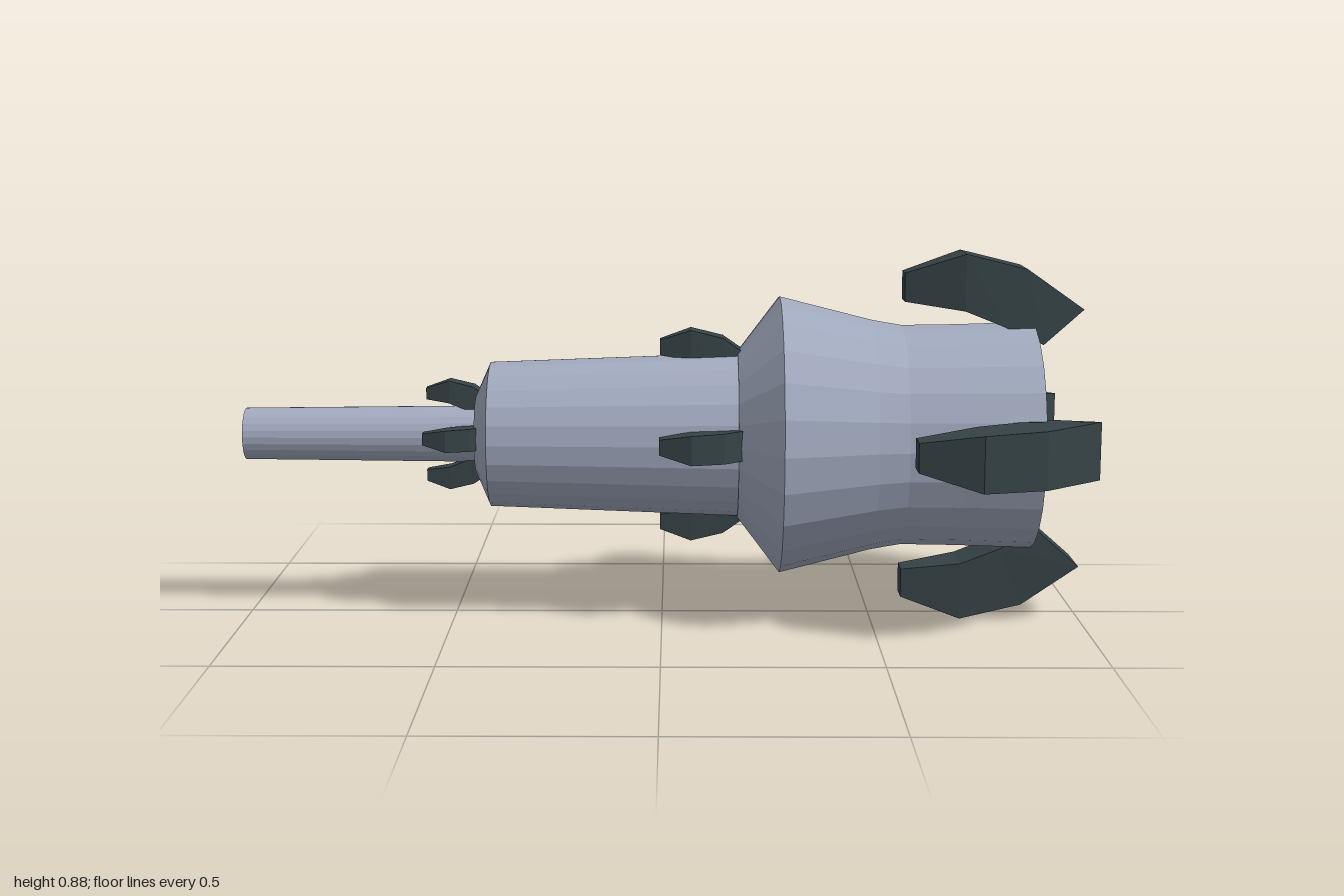
import * as THREE from 'three';

const AXIS_Y = 0.44;

// Turned part whose profile of [x, radius] pairs runs along the x axis
function turned(name, profile, material) {
  const points = profile.map(([x, r]) => new THREE.Vector2(r, x));
  const mesh = new THREE.Mesh(new THREE.LatheGeometry(points, 24), material);
  mesh.rotation.z = -Math.PI / 2;
  mesh.name = name;
  return mesh;
}

// Fin lofted through four-cornered sections, standing out along +y
function finGeometry() {
  // [inner x, inner radius, outer x, outer radius, half width, inner shift, outer shift]
  const sections = [
    [0.575, 0.322, 0.575, 0.39, 0.034, 0.012, 0.012],
    [0.715, 0.303, 0.715, 0.438, 0.065, 0.004, 0.005],
    [0.81, 0.265, 0.86, 0.402, 0.067, 0.005, 0.008],
    [0.9, 0.224, 0.995, 0.307, 0.067, 0.005, 0.014],
  ];
  const rings = sections.map(([xi, ri, xo, ro, w, si, so]) => [
    [xi, ri, w - si], [xi, ri, -w - si], [xo, ro, -w - so], [xo, ro, w - so],
  ]);
  const positions = [];
  const quad = (a, b, c, d) => positions.push(...a, ...b, ...c, ...a, ...c, ...d);
  for (let i = 0; i < rings.length - 1; i++) {
    for (let j = 0; j < 4; j++) {
      const k = (j + 1) % 4;
      quad(rings[i][j], rings[i][k], rings[i + 1][k], rings[i + 1][j]);
    }
  }
  quad(...rings[rings.length - 1]);
  quad(...[...rings[0]].reverse());
  const geometry = new THREE.BufferGeometry();
  geometry.setAttribute('position', new THREE.Float32BufferAttribute(positions, 3));
  geometry.computeVertexNormals();
  return geometry;
}

export function createModel() {
  const model = new THREE.Group();
  const metal = new THREE.MeshStandardMaterial({ color: 0xa0a8bd });
  const dark = new THREE.MeshStandardMaterial({ color: 0x364346 });
  metal.name = 'pale metal';
  dark.name = 'dark slate';
  metal.flatShading = dark.flatShading = true;

  const device = new THREE.Group();
  device.name = 'device';
  device.position.y = AXIS_Y;
  model.add(device);

  // Thin shaft, sleeve and flared head
  device.add(turned('shaft', [[-1, 0], [-1, 0.062], [-0.43, 0.068]], metal));
  device.add(turned('sleeve', [
    [-0.445, 0], [-0.445, 0.095], [-0.41, 0.174], [0.19, 0.197],
  ], metal));
  device.add(turned('head', [
    [0.18, 0], [0.18, 0.2], [0.28, 0.332], [0.5, 0.276], [0.57, 0.264],
    [0.7, 0.266], [0.88, 0.272], [0.88, 0],
  ], metal));

  // Three rings of four fins: [name, scale, x shift, radial shift]
  const fin = finGeometry();
  const rows = [
    ['headFin', 1, 0, 0],
    ['sleeveFin', 0.53, -0.31, 0.022],
    ['shaftFin', 0.4, -0.795, -0.044],
  ];
  for (const [name, scale, dx, dr] of rows) {
    const geometry = fin.clone().scale(scale, scale, scale).translate(dx, dr, 0);
    for (let k = 0; k < 4; k++) {
      const mesh = new THREE.Mesh(geometry, dark);
      mesh.name = name + (k + 1);
      mesh.rotation.x = k * Math.PI / 2;
      device.add(mesh);
    }
  }
  return model;
}
